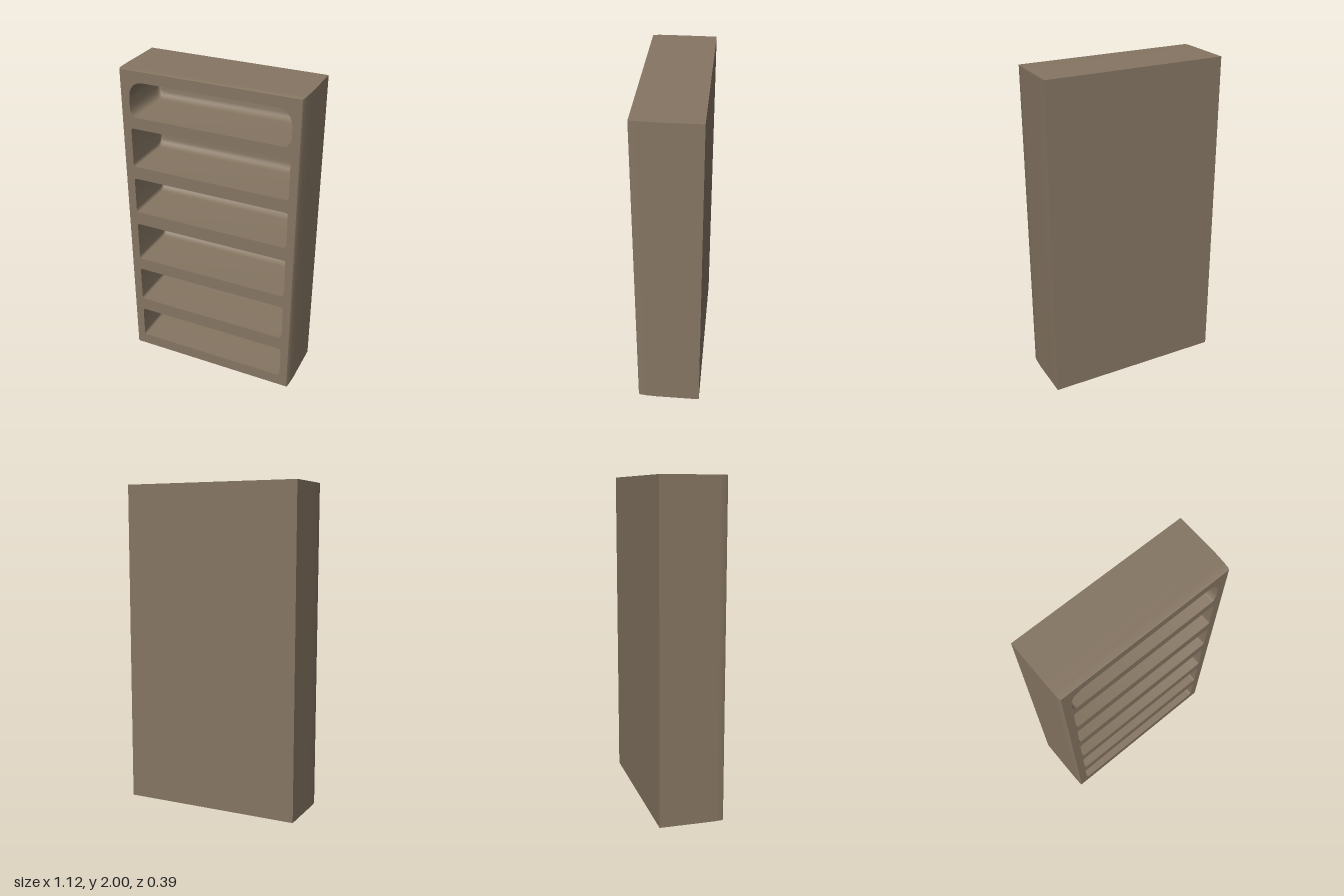
import * as THREE from 'three';
import { toCreasedNormals } from 'three/addons/utils/BufferGeometryUtils.js';

const FRONT = 0.195, BACK = -0.195;
const CAVITY_BACK = -0.155, FILLET = 0.05;
const HALF_OPENING = 0.5;

// Skin between rings of equal point count; a ring collapsed to one point closes an end.
function loft(rings) {
  const positions = [];
  const n = rings[0].length;
  const tri = (...pts) => pts.forEach(p => positions.push(p.x, p.y, p.z));
  for (let k = 0; k < rings.length - 1; k++) {
    for (let i = 0; i < n; i++) {
      const j = (i + 1) % n;
      const [a, b, c, d] = [rings[k][i], rings[k][j], rings[k + 1][j], rings[k + 1][i]];
      if (!a.equals(b)) tri(a, b, c);
      if (!c.equals(d)) tri(a, c, d);
    }
  }
  const geometry = new THREE.BufferGeometry();
  geometry.setAttribute('position', new THREE.Float32BufferAttribute(positions, 3));
  return toCreasedNormals(geometry, 0.6);
}

// Counter-clockwise outline of an opening, with separate bottom and top corner sizes.
function openingOutline(y0, y1, [bx, by], [tx, ty]) {
  const w = HALF_OPENING;
  const s = new THREE.Shape();
  s.moveTo(-w + bx, y0);
  s.lineTo(w - bx, y0);
  s.quadraticCurveTo(w, y0, w, y0 + by);
  s.lineTo(w, y1 - ty);
  s.quadraticCurveTo(w, y1, w - tx, y1);
  s.lineTo(-w + tx, y1);
  s.quadraticCurveTo(-w, y1, -w, y1 - ty);
  s.lineTo(-w, y0 + by);
  s.quadraticCurveTo(-w, y0, -w + bx, y0);
  return s.getPoints(8).slice(0, -1);
}

// Compartment lining: straight walls, then floor and ceiling curve into the back.
function cavityGeometry(outline, y0, y1) {
  const mid = (y0 + y1) / 2, half = (y1 - y0) / 2;
  const ring = (z, inset) => outline.map(p =>
    new THREE.Vector3(p.x, mid + (p.y - mid) * (half - inset) / half, z));
  const rings = [ring(FRONT, 0)];
  const steps = 8;
  for (let i = 0; i <= steps; i++) {
    const a = (i / steps) * Math.PI / 2;
    rings.push(ring(CAVITY_BACK + FILLET * (1 - Math.sin(a)), FILLET * (1 - Math.cos(a))));
  }
  rings.push(outline.map(() => new THREE.Vector3(0, mid, CAVITY_BACK)));
  return loft(rings);
}

export function createModel() {
  const group = new THREE.Group();
  group.name = 'bookcase';
  const wood = new THREE.MeshStandardMaterial({ color: 0x857562 });
  const add = (name, geometry) => {
    const mesh = new THREE.Mesh(geometry, wood);
    mesh.name = name;
    group.add(mesh);
  };

  // Outer case, slightly eased towards the front: z, left, right, bottom, top
  const sections = [
    [BACK, -0.56, 0.56, 0, 2],
    [0.08, -0.56, 0.56, 0, 2],
    [0.15, -0.559, 0.557, 0, 2],
    [0.187, -0.557, 0.553, 0.001, 1.999],
    [FRONT, -0.553, 0.549, 0.004, 1.996],
  ];
  const corners = ([z, l, r, b, t]) =>
    [[l, b], [r, b], [r, t], [l, t]].map(([x, y]) => new THREE.Vector3(x, y, z));
  const backCentre = Array.from({ length: 4 }, () => new THREE.Vector3(0, 1, BACK));
  add('outerCase', loft([backCentre, ...sections.map(corners)]));

  // Compartments from bottom to top: y0, y1, bottom corner, top corner
  const small = [0.018, 0.018];
  const compartments = [
    [0.08, 0.302, small, small],
    [0.39, 0.632, small, small],
    [0.714, 0.978, small, small],
    [1.066, 1.304, small, small],
    [1.385, 1.638, small, small],
    [1.71, 1.93, [0.04, 0.07], [0.1, 0.11]],
  ];
  const frontOutline = corners(sections[sections.length - 1]);
  const face = new THREE.Shape(frontOutline.map(p => new THREE.Vector2(p.x, p.y)));
  compartments.forEach(([y0, y1, bottom, top], i) => {
    const outline = openingOutline(y0, y1, bottom, top);
    face.holes.push(new THREE.Path(outline));
    add(`compartment${i + 1}`, cavityGeometry(outline, y0, y1));
  });

  // Front face of the uprights and shelves
  add('frontFrame', new THREE.ShapeGeometry(face).translate(0, 0, FRONT));

  return group;
}
